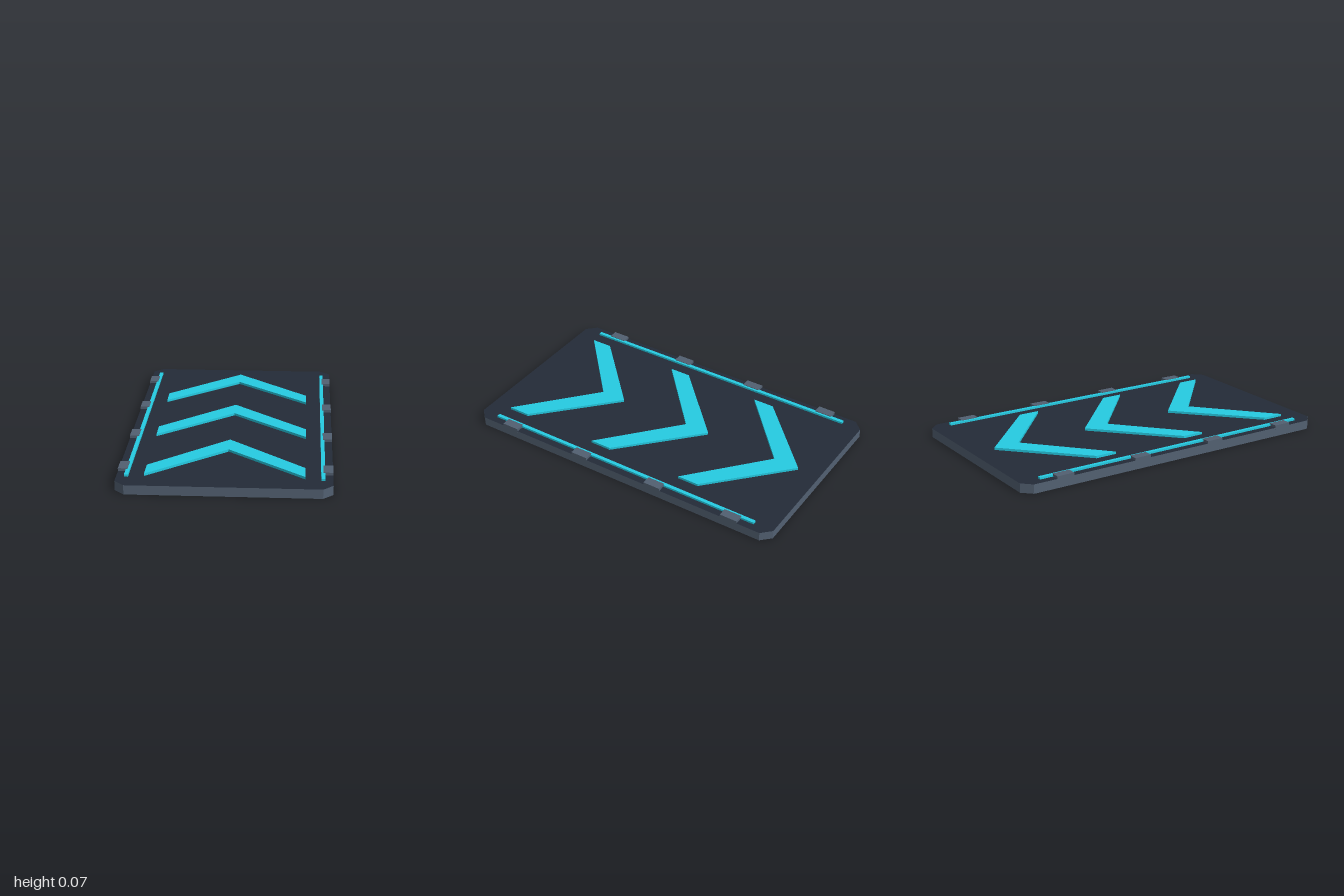
import * as THREE from 'three';

const mat = (color) => new THREE.MeshStandardMaterial({ color });

// Extrude a plan outline of [x, z] points upward from y = 0
function plate(points, height) {
  const shape = new THREE.Shape(points.map(([x, z]) => new THREE.Vector2(x, -z)));
  const geometry = new THREE.ExtrudeGeometry(shape, { depth: height, bevelEnabled: false });
  return geometry.rotateX(-Math.PI / 2);
}

export function createModel() {
  const model = new THREE.Group();
  model.name = 'boostPad';
  const dark = mat(0x232b38), slate = mat(0x526071), cyan = mat(0x25cbe2);

  const add = (name, geometry, material, x, y, z) => {
    const mesh = new THREE.Mesh(geometry, material);
    mesh.name = name;
    mesh.position.set(x, y, z);
    model.add(mesh);
  };

  // Slab with cut corners: dark faces, lighter rim
  const W = 0.583, L = 1, C = 0.055, H = 0.053, TOP = 0.067;
  const outline = [
    [W, L - C], [W, C - L], [W - C, -L], [C - W, -L],
    [-W, C - L], [-W, L - C], [C - W, L], [W - C, L],
  ];
  add('slab', plate(outline, H), [dark, slate], 0, 0, 0);

  // Three raised chevrons pointing to the back
  const chevron = plate([
    [0, -0.267], [0.433, 0.14], [0.433, 0.267],
    [0, -0.113], [-0.433, 0.267], [-0.433, 0.14],
  ], TOP - H + 0.002);
  [-0.6, 0, 0.6].forEach((z, i) => add(`chevron${i + 1}`, chevron, cyan, 0, H - 0.002, z));

  // Light strips and clamps along both long edges
  const strip = new THREE.BoxGeometry(0.022, 0.02, 1.767);
  const clamp = new THREE.BoxGeometry(0.053, 0.024, 0.105);
  for (const [side, s] of [['left', 1], ['right', -1]]) {
    add(`${side}LightStrip`, strip, cyan, s * 0.529, 0.055, 0);
    [-0.75, -0.25, 0.25, 0.75].forEach((z, i) =>
      add(`${side}Clamp${i + 1}`, clamp, slate, s * 0.5575, TOP - 0.011, z));
  }
  return model;
}
